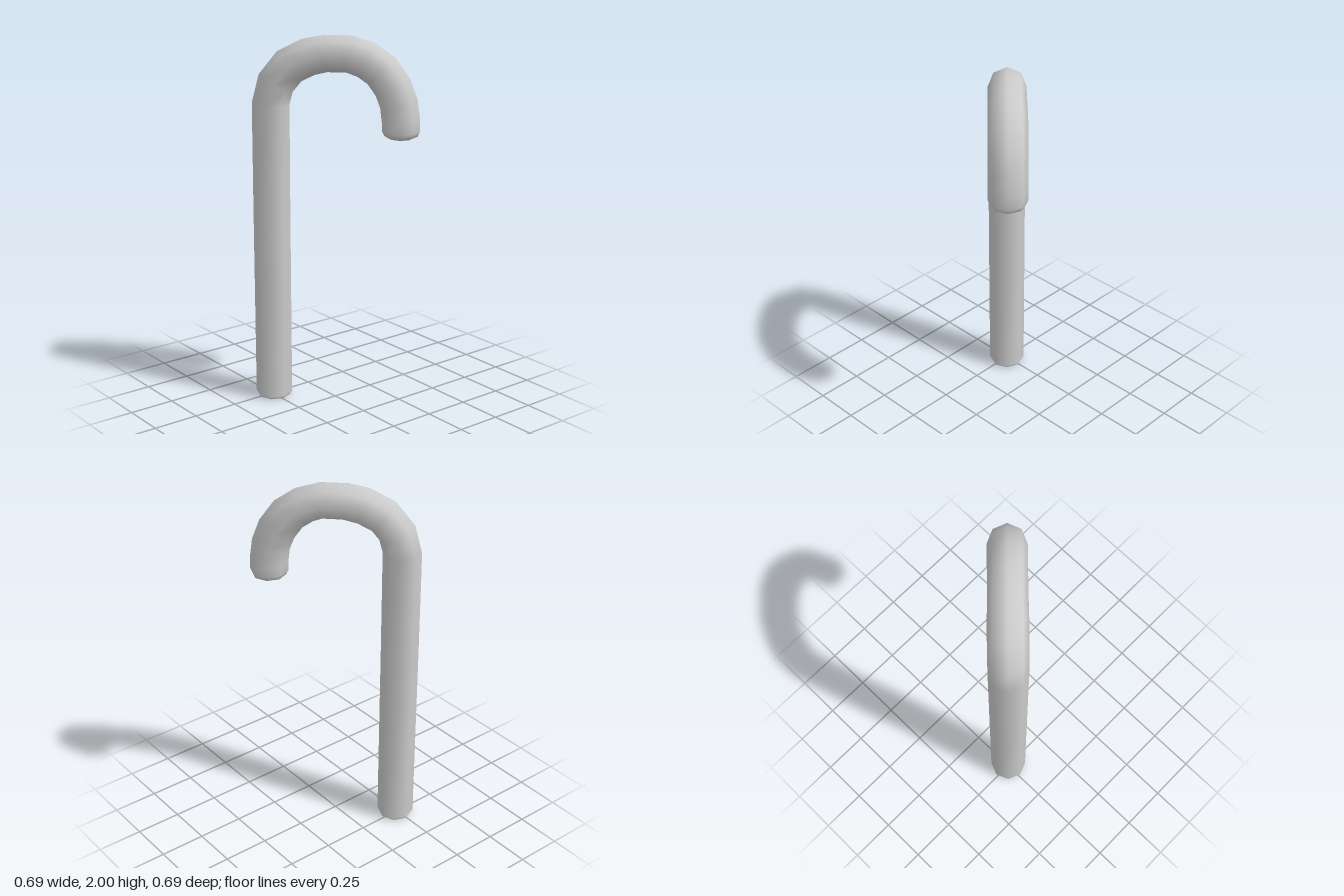
import * as THREE from 'three';

const SIDES = 8;
const D = Math.SQRT1_2;

// The cane lies in a vertical plane turned 45 degrees: s runs along the diagonal, y is up.
const place = (s, y) => new THREE.Vector3(s * D, y, s * D);
const across = new THREE.Vector3(D, 0, -D);

// Centre line stations: [s, y, radius]
const stations = [
  [-0.341, 0.0, 0.088], [-0.341, 0.018, 0.1], [-0.341, 0.55, 0.1], [-0.341, 1.1, 0.1],
  [-0.34, 1.635, 0.1], [-0.312, 1.745, 0.1], [-0.24, 1.835, 0.1], [-0.14, 1.885, 0.099],
  [-0.05, 1.904, 0.097], [0.07, 1.904, 0.097], [0.16, 1.875, 0.099], [0.24, 1.82, 0.1],
  [0.3, 1.735, 0.1], [0.332, 1.65, 0.1], [0.344, 1.56, 0.1], [0.345, 1.505, 0.1],
  [0.345, 1.48, 0.088], [0.345, 1.468, 0.062],
];

// One octagonal ring, square to the centre line
function ring(i) {
  const [s, y, r] = stations[i];
  const a = stations[Math.max(i - 1, 0)];
  const b = stations[Math.min(i + 1, stations.length - 1)];
  const centre = place(s, y);
  const tangent = place(b[0], b[1]).sub(place(a[0], a[1])).normalize();
  const normal = across.clone().cross(tangent);
  return Array.from({ length: SIDES }, (_, j) => {
    const t = (j / SIDES) * Math.PI * 2;
    return centre.clone()
      .addScaledVector(normal, Math.cos(t) * r)
      .addScaledVector(across, Math.sin(t) * r);
  });
}

function build(points, index) {
  const g = new THREE.BufferGeometry().setFromPoints(points);
  g.setIndex(index);
  g.computeVertexNormals();
  return g;
}

export function createModel() {
  const group = new THREE.Group();
  group.name = 'cane';
  const material = new THREE.MeshStandardMaterial({ color: 0xcccccc });
  const add = (name, geometry) => {
    const mesh = new THREE.Mesh(geometry, material);
    mesh.name = name;
    group.add(mesh);
  };

  // Shaft and hook as one smooth skin, closed at the hook tip
  const rings = stations.map((_, i) => ring(i));
  const points = rings.flat();
  const index = [];
  for (let i = 0; i < rings.length - 1; i++) {
    for (let j = 0; j < SIDES; j++) {
      const k = (j + 1) % SIDES;
      const a = i * SIDES + j, b = i * SIDES + k;
      index.push(a, b, b + SIDES, a, b + SIDES, a + SIDES);
    }
  }
  const last = (rings.length - 1) * SIDES;
  for (let j = 1; j < SIDES - 1; j++) index.push(last, last + j, last + j + 1);
  add('shaftAndHook', build(points, index));

  // Flat foot with its own hard edge
  const foot = [];
  for (let j = 1; j < SIDES - 1; j++) foot.push(0, j + 1, j);
  add('foot', build(rings[0], foot));

  return group;
}
